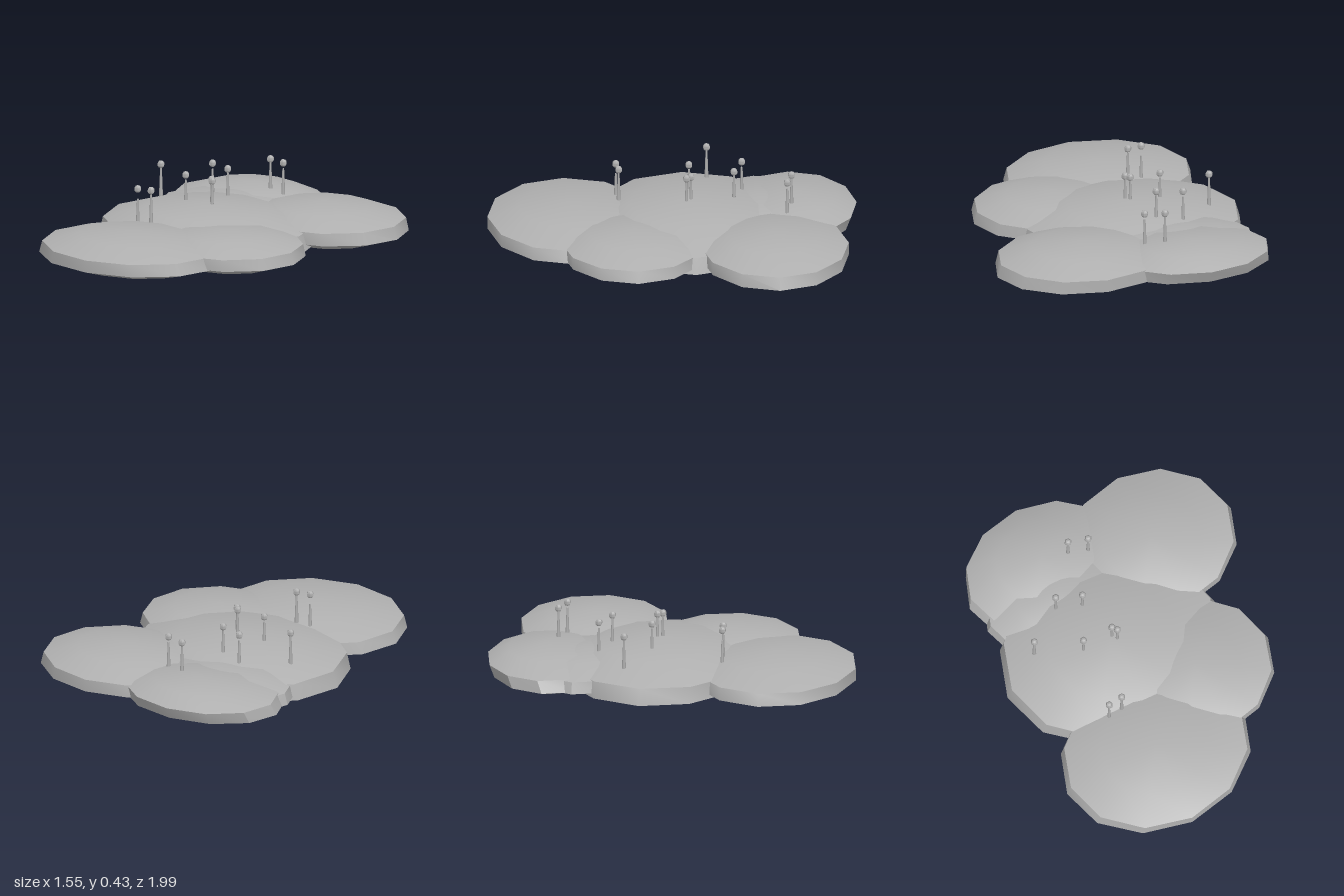
import * as THREE from 'three';
import { toCreasedNormals } from 'three/addons/utils/BufferGeometryUtils.js';

// Flattened 12 x 5 sphere; rx and rz are the half-widths of its rim,
// the rim narrows a little in x towards the top and leans in z
function padGeometry(rx, ry, rz, leanZ) {
  const geo = new THREE.SphereGeometry(1, 12, 5);
  const pos = geo.attributes.position;
  const rim = Math.sin(Math.PI * 2 / 5);
  for (let i = 0; i < pos.count; i++) {
    const x = pos.getX(i), y = pos.getY(i), z = pos.getZ(i);
    pos.setXYZ(i,
      x * rx / rim * (0.978 - 0.07 * y),
      y * ry,
      z * rz / rim + leanZ * y);
  }
  return toCreasedNormals(geo, 0.6);
}

export function createModel() {
  const model = new THREE.Group();
  model.name = 'clusteredPads';
  const grey = new THREE.MeshStandardMaterial({ color: 0xb0b0b0 });
  grey.name = 'grey';

  // Overlapping pads: name, centre x y z, half-sizes x y z, lean
  const pads = [
    ['centrePad', -0.16, 0.143, -0.09, 0.62, 0.143, 0.52, 0],
    ['frontPad', -0.21, 0.152, 0.55, 0.53, 0.107, 0.44, 0],
    ['frontLeftPad', 0.18, 0.155, 0.23, 0.44, 0.102, 0.39, 0],
    ['backLeftPad', 0.29, 0.160, -0.52, 0.48, 0.110, 0.40, 0],
    ['backRightPad', -0.28, 0.155, -0.64, 0.46, 0.105, 0.345, -0.045],
    ['rightFillPad', -0.28, 0.150, -0.47, 0.43, 0.100, 0.33, 0],
  ];
  for (const [name, x, y, z, rx, ry, rz, lean] of pads) {
    const pad = new THREE.Mesh(padGeometry(rx, ry, rz, lean), grey);
    pad.name = name;
    pad.position.set(x, y, z);
    model.add(pad);
  }

  // Stalks with small faceted heads: x, z, top of stem
  const stalks = [
    [-0.145, -0.64, 0.39], [-0.04, -0.61, 0.38], [-0.345, -0.385, 0.38],
    [-0.21, -0.335, 0.39], [-0.56, -0.21, 0.39], [-0.32, -0.10, 0.385],
    [-0.15, -0.10, 0.39], [-0.13, -0.075, 0.39], [-0.36, 0.29, 0.355],
    [-0.28, 0.28, 0.39],
  ];
  const stemGeo = new THREE.CylinderGeometry(0.005, 0.0115, 0.17, 6);
  const headGeo = toCreasedNormals(new THREE.SphereGeometry(0.021, 6, 5), 0.6);
  for (const [x, z, top] of stalks) {
    const stalk = new THREE.Group();
    stalk.name = 'stalk';
    const stem = new THREE.Mesh(stemGeo, grey);
    stem.name = 'stem';
    stem.position.y = top - 0.085;
    const head = new THREE.Mesh(headGeo, grey);
    head.name = 'head';
    head.position.y = 0.411;
    stalk.add(stem, head);
    stalk.position.set(x, 0, z);
    model.add(stalk);
  }
  return model;
}
